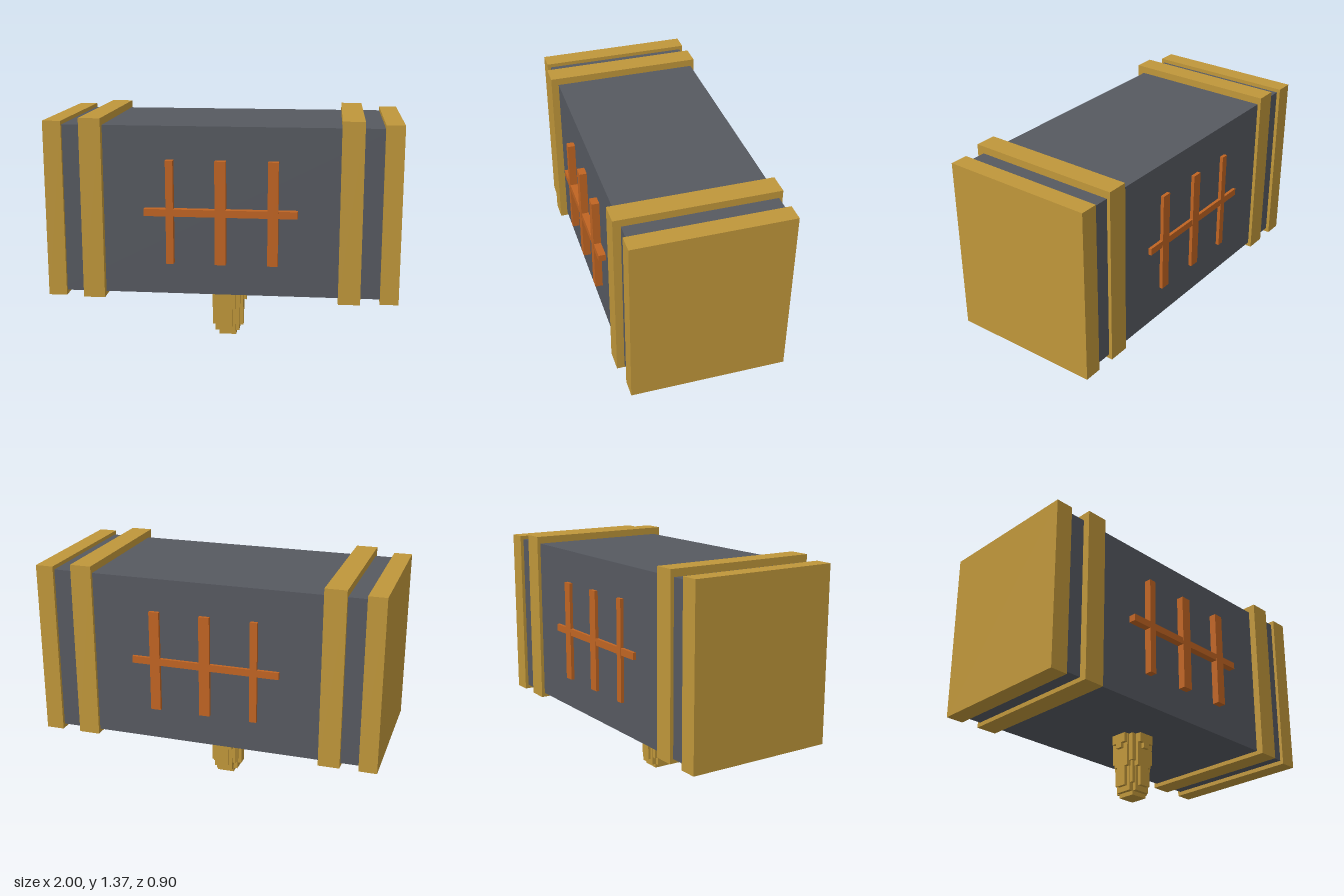
import * as THREE from 'three';

const grey = new THREE.MeshStandardMaterial({ color: 0x565960 });
grey.name = 'slate grey';
const gold = new THREE.MeshStandardMaterial({ color: 0xbf963a });
gold.name = 'gold';
const orange = new THREE.MeshStandardMaterial({ color: 0xc06422 });
orange.name = 'burnt orange';

// Box given by its lower and upper limits on each axis
function block(name, material, [x0, x1], [y0, y1], [z0, z1]) {
  const mesh = new THREE.Mesh(new THREE.BoxGeometry(x1 - x0, y1 - y0, z1 - z0), material);
  mesh.position.set((x0 + x1) / 2, (y0 + y1) / 2, (z0 + z1) / 2);
  mesh.name = name;
  return mesh;
}

export function createModel() {
  const model = new THREE.Group();
  model.name = 'hammer';

  // Hammer head
  model.add(block('head', grey, [-0.95, 0.95], [0.365, 1.328], [-0.433, 0.407]));

  // End caps and inner bands
  model.add(block('rightEndCap', gold, [-1, -0.896], [0.34, 1.35], [-0.453, 0.427]));
  model.add(block('leftEndCap', gold, [0.896, 1], [0.34, 1.35], [-0.453, 0.427]));
  model.add(block('rightBand', gold, [-0.79, -0.667], [0.34, 1.37], [-0.453, 0.45]));
  model.add(block('leftBand', gold, [0.662, 0.786], [0.34, 1.37], [-0.453, 0.45]));

  // Crossed bars passing through to both faces
  const bars = new THREE.Group();
  bars.name = 'crossedBars';
  for (const x of [[-0.308, -0.266], [-0.033, 0.029], [0.263, 0.322]]) {
    bars.add(block('uprightBar', orange, x, [0.55, 1.14], [-0.453, 0.45]));
  }
  bars.add(block('crossBar', orange, [-0.432, 0.429], [0.824, 0.865], [-0.451, 0.448]));
  model.add(bars);

  // Stepped handle: nested blocks, each with x limits, z limits and lower end
  const handle = new THREE.Group();
  handle.name = 'handle';
  const steps = [
    [[-0.052, 0.052], [-0.052, 0.052], 0],
    [[-0.075, 0.07], [-0.05, 0.05], 0.024],
    [[-0.05, 0.05], [-0.075, 0.075], 0.024],
    [[-0.07, 0.07], [-0.07, 0.07], 0.07],
    [[-0.095, 0.094], [-0.03, 0.03], 0.055],
    [[-0.03, 0.03], [-0.092, 0.095], 0.055],
    [[-0.095, 0.094], [-0.052, 0.052], 0.17],
    [[-0.052, 0.052], [-0.092, 0.095], 0.17],
    [[-0.08, 0.08], [-0.08, 0.08], 0.2],
    [[-0.115, 0.113], [-0.02, 0.02], 0.28],
    [[0, 0.113], [-0.02, 0.02], 0.215],
    [[-0.02, 0.02], [-0.113, 0.115], 0.278],
    [[-0.02, 0.02], [-0.113, 0], 0.215],
    [[-0.115, 0.113], [-0.05, 0.05], 0.31],
    [[-0.05, 0.05], [-0.113, 0.115], 0.31],
  ];
  for (const [x, z, bottom] of steps) {
    handle.add(block('handleStep', gold, x, [bottom, 0.37], z));
  }
  model.add(handle);

  return model;
}
